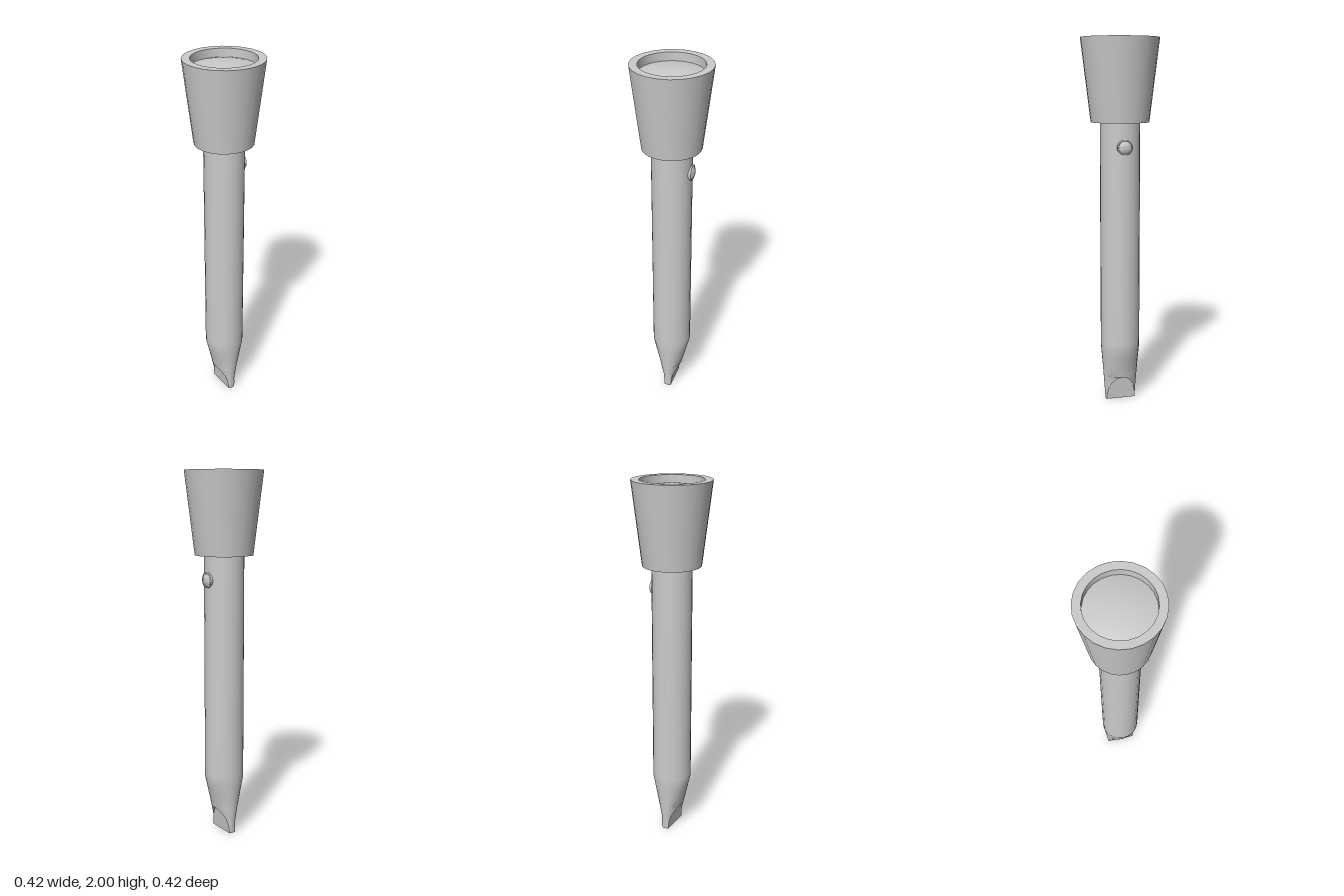
import * as THREE from 'three';
import { toCreasedNormals } from 'three/addons/utils/BufferGeometryUtils.js';

const material = new THREE.MeshStandardMaterial({ color: 0xcccccc });
const ARCH = 0.138; // height of the ground flats on the blade
const R = 0.108;    // shaft radius

// One closed cross-section of the shaft at height y, starting at +z and turning towards +x
function section(y, cut) {
  const taper = Math.max(0, 0.32 - y);
  const a = R - 0.253 * taper, b = R - 0.075 * taper;
  const archZ = cut ? 0.081 * Math.sqrt(Math.max(0, 1 - (y / ARCH) ** 2)) : 0;
  const end = Math.acos(archZ / b);
  const flatX = cut ? 0.019 + 0.09 * y : a;
  const edgeX = Math.max(a * Math.sin(end), flatX);
  const quarter = [];
  for (let k = 0; k <= 6; k++) { // rounded outside
    const t = end * k / 6;
    quarter.push([edgeX * Math.sin(t) / Math.sin(end), b * Math.cos(t)]);
  }
  for (let k = 0; k <= 4; k++) quarter.push([flatX, archZ * (1 - k / 4)]); // ground flat
  const half = [...quarter, ...quarter.slice(0, -1).reverse().map(([x, z]) => [x, -z])];
  const other = half.slice(1, -1).reverse().map(([x, z]) => [-x, z]);
  return [...half, ...other].map(([x, z]) => new THREE.Vector3(x, y, z));
}

// Skin the sections, leaving out collapsed triangles
function shaftGeometry() {
  const rings = [];
  for (let i = 0; i <= 12; i++) rings.push(section(ARCH * Math.sin(i / 12 * Math.PI / 2), true));
  for (const y of [ARCH, 0.2, 0.26, 0.32, 0.34, 1.62]) rings.push(section(y, false));
  const pos = [];
  const tri = (a, b, c) => {
    const area = b.clone().sub(a).cross(c.clone().sub(a)).length();
    if (area > 1e-9) for (const p of [a, b, c]) pos.push(p.x, p.y, p.z);
  };
  const n = rings[0].length;
  const base = new THREE.Vector3(0, 0, 0);
  for (let j = 0; j < n; j++) {
    const k = (j + 1) % n;
    tri(base, rings[0][k], rings[0][j]);
    for (let i = 0; i < rings.length - 1; i++) {
      const lo = rings[i], hi = rings[i + 1];
      tri(lo[j], lo[k], hi[k]);
      tri(lo[j], hi[k], hi[j]);
    }
  }
  const geo = new THREE.BufferGeometry();
  geo.setAttribute('position', new THREE.Float32BufferAttribute(pos, 3));
  return toCreasedNormals(geo, 0.5);
}

function lathe(points, segments) {
  const geo = new THREE.LatheGeometry(points.map(([x, y]) => new THREE.Vector2(x, y)), segments);
  return toCreasedNormals(geo, 0.5);
}

// Shallow dome profile from the rim (r, y) to the axis
function dome(r, y, h, steps = 6) {
  return Array.from({ length: steps + 1 }, (_, i) => {
    const s = 1 - i / steps;
    return [r * s, y + h * (1 - s * s)];
  });
}

export function createModel() {
  const model = new THREE.Group();
  const add = (name, geo) => {
    const mesh = new THREE.Mesh(geo, material);
    mesh.name = name;
    model.add(mesh);
    return mesh;
  };

  // Round shaft narrowing to a flat blade
  add('shaftAndBlade', shaftGeometry());

  // Flared head with a recessed top
  add('head', lathe([[0, 1.56], [0.157, 1.56], [0.21, 2], [0.168, 2], [0.168, 1.955]], 24));

  // Domed insert in the head
  add('headInsert', lathe(dome(0.168, 1.955, 0.022), 24));

  // Small domed button on the left side of the shaft
  const button = add('button', lathe(
    [[0.04, 0], [0.042, 0.024], [0.036, 0.026], ...dome(0.034, 0.025, 0.011)], 24));
  button.rotation.z = -Math.PI / 2;
  button.position.set(0.09, 1.432, 0);

  return model;
}
